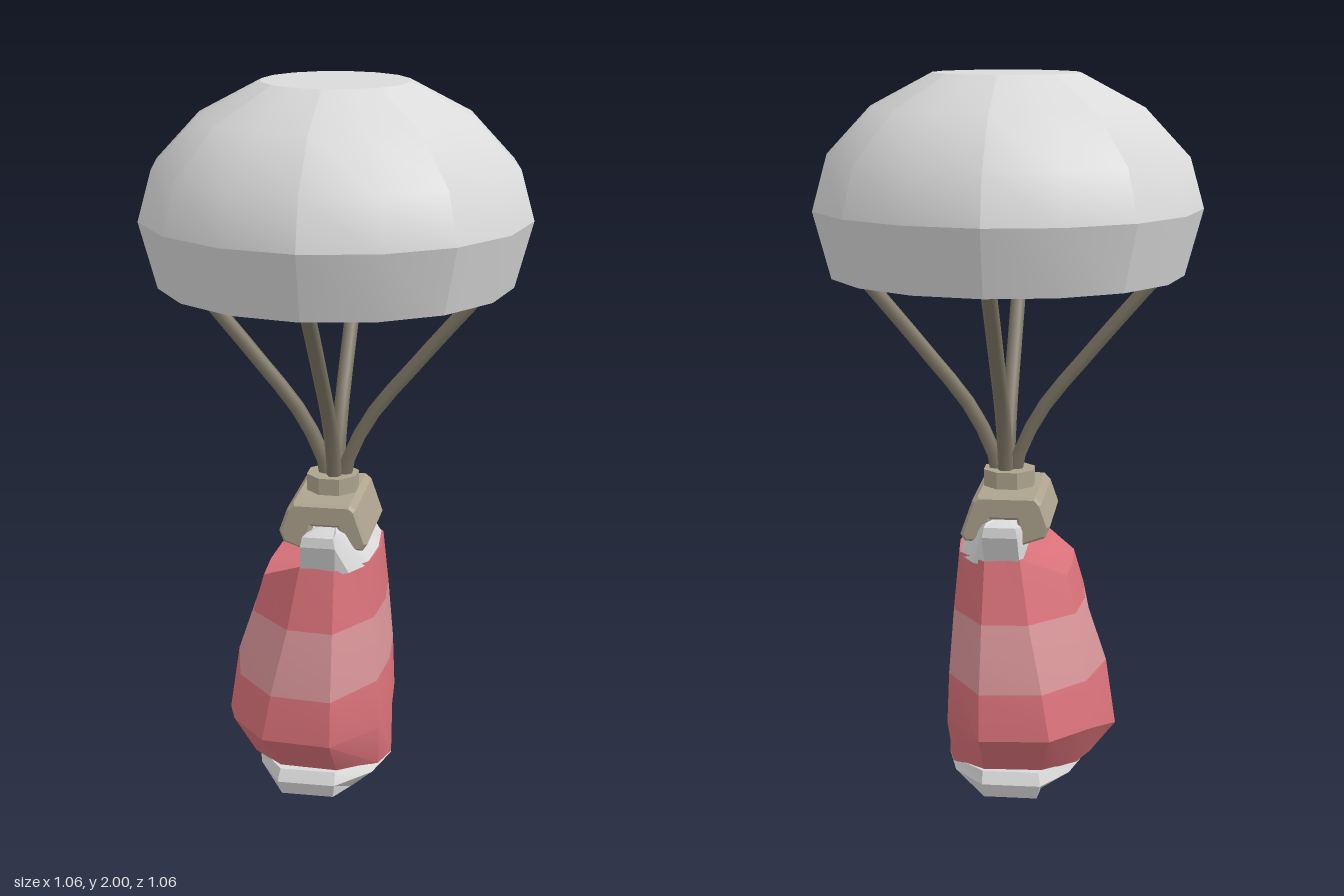
import * as THREE from 'three';
import { toCreasedNormals } from 'three/addons/utils/BufferGeometryUtils.js';

function material(name, color, side = THREE.FrontSide) {
  const m = new THREE.MeshStandardMaterial({ color, side });
  m.name = name;
  return m;
}

// Rings are listed top to bottom; each is a half outline (+x round to -x) mirrored in z.
// bands[i] is the material index of the strip below ring i.
function loft(halfRings, bands, crease) {
  const rings = halfRings.map((half) => [
    ...half,
    ...half.slice(1, -1).reverse().map(([x, y, z]) => [x, y, -z]),
  ]);
  const n = rings[0].length;
  const pos = [];
  const geo = new THREE.BufferGeometry();
  const tri = (...pts) => pts.forEach((p) => pos.push(...p));
  const middle = (half) => {
    const a = half[0], b = half[half.length - 1];
    return [(a[0] + b[0]) / 2, (a[1] + b[1]) / 2, 0];
  };
  const cap = (k, up, mat) => {
    const start = pos.length / 3;
    const c = middle(halfRings[k]);
    for (let i = 0; i < n; i++) {
      const a = rings[k][i], b = rings[k][(i + 1) % n];
      if (up) tri(c, b, a); else tri(c, a, b);
    }
    geo.addGroup(start, n * 3, mat);
  };
  cap(0, true, bands[0]);
  for (let k = 0; k < rings.length - 1; k++) {
    const start = pos.length / 3;
    for (let i = 0; i < n; i++) {
      const j = (i + 1) % n;
      const a = rings[k][i], b = rings[k][j], c = rings[k + 1][j], d = rings[k + 1][i];
      tri(a, b, d);
      tri(b, c, d);
    }
    geo.addGroup(start, n * 6, bands[k]);
  }
  cap(rings.length - 1, false, bands[bands.length - 1]);
  geo.setAttribute('position', new THREE.Float32BufferAttribute(pos, 3));
  return toCreasedNormals(geo, crease);
}

export function createModel() {
  const model = new THREE.Group();
  model.name = 'parachuteBag';

  const cloth = material('canopyGrey', 0xdadada, THREE.DoubleSide);
  const white = material('trimWhite', 0xdadada);
  const red = material('bagRed', 0xda727a);
  const pink = material('stripePink', 0xda969a);
  const tan = material('claspTan', 0xaea48f);
  const strapMat = material('strapOlive', 0x7d7665);

  const add = (parent, name, geo, mat) => {
    const mesh = new THREE.Mesh(geo, mat);
    mesh.name = name;
    parent.add(mesh);
    return mesh;
  };

  // Canopy: eight gores of two facets, with creases between gores and at the rim
  const canopy = new THREE.Group();
  canopy.name = 'canopy';
  canopy.rotation.y = -0.015;
  model.add(canopy);
  const profiles = {
    rim: [[0.482, 1.465], [0.53, 1.645]],
    dome: [[0.53, 1.645], [0.492, 1.78], [0.37, 1.91], [0.2, 2]],
    crown: [[0.2, 2], [0, 2]],
  };
  for (let i = 0; i < 8; i++) {
    for (const [part, pts] of Object.entries(profiles)) {
      const geo = new THREE.LatheGeometry(
        pts.map(([r, y]) => new THREE.Vector2(r, y)), 2, i * Math.PI / 4, Math.PI / 4);
      geo.computeVertexNormals();
      add(canopy, part + 'Panel', geo, cloth);
    }
  }

  // Four curved straps with closed outer ends
  const path = new THREE.CatmullRomCurve3(
    [[0.02, 0.88], [0.035, 0.96], [0.1, 1.09], [0.22, 1.24], [0.36, 1.405], [0.47, 1.53]]
      .map(([x, y]) => new THREE.Vector3(x, y, 0)));
  const strapGeo = new THREE.TubeGeometry(path, 10, 0.021, 6, false);
  const endGeo = new THREE.CircleGeometry(0.021, 6);
  const outward = path.getTangent(1);
  for (let i = 0; i < 4; i++) {
    const strap = new THREE.Group();
    strap.name = 'strap';
    strap.rotation.y = i * Math.PI / 2;
    model.add(strap);
    add(strap, 'strapCord', strapGeo, strapMat);
    const end = add(strap, 'strapEnd', endGeo, strapMat);
    end.position.copy(path.getPoint(1));
    end.quaternion.setFromUnitVectors(new THREE.Vector3(0, 0, 1), outward);
  }

  // Collar nut and the clasp saddling the bag's neck
  const nutGeo = toCreasedNormals(new THREE.CylinderGeometry(0.074, 0.074, 0.06, 8), 0.5);
  nutGeo.rotateY(Math.PI / 8);
  add(model, 'collarNut', nutGeo, tan).position.set(-0.008, 0.89, 0);

  const claspShape = new THREE.Shape(
    [[-0.09, 0.865], [-0.104, 0.85], [-0.125, 0.79], [-0.115, 0.765], [-0.06, 0.745],
      [-0.05, 0.815], [0.035, 0.815], [0.05, 0.75], [0.095, 0.753], [0.103, 0.765],
      [0.072, 0.855], [0.06, 0.865]].map(([x, y]) => new THREE.Vector2(x, y)));
  const claspGeo = new THREE.ExtrudeGeometry(claspShape, {
    depth: 0.28, bevelEnabled: true, bevelThickness: 0.01, bevelSize: 0.008, bevelSegments: 1,
  });
  claspGeo.translate(0, 0, -0.14);
  add(model, 'clasp', claspGeo, tan);

  // White neck flange, flaring into a tab at each end
  add(model, 'neckFlange', loft([
    [[0.06, 0.79, 0], [0.055, 0.79, 0.14], [0.035, 0.812, 0.2], [0.035, 0.812, 0.245], [-0.05, 0.812, 0.245], [-0.055, 0.79, 0.14], [-0.055, 0.79, 0]],
    [[0.07, 0.775, 0], [0.065, 0.775, 0.14], [0.045, 0.785, 0.2], [0.04, 0.785, 0.25], [-0.055, 0.785, 0.25], [-0.06, 0.775, 0.14], [-0.06, 0.775, 0]],
    [[0.127, 0.7, 0], [0.117, 0.7, 0.12], [0.07, 0.7, 0.2], [0.035, 0.7, 0.225], [-0.06, 0.7, 0.225], [-0.062, 0.7, 0.14], [-0.062, 0.7, 0]],
  ], [0, 0], 0.45), [white]);

  // Bag: faceted ends, softly rounded broad sides, one pale stripe
  add(model, 'bag', loft([
    [[0.13, 0.708, 0], [0.118, 0.708, 0.12], [0.035, 0.715, 0.235], [-0.06, 0.72, 0.228], [-0.18, 0.652, 0.13], [-0.187, 0.65, 0]],
    [[0.143, 0.55, 0], [0.131, 0.55, 0.14], [0.038, 0.55, 0.282], [-0.088, 0.55, 0.27], [-0.207, 0.55, 0.15], [-0.222, 0.55, 0]],
    [[0.156, 0.368, 0], [0.143, 0.368, 0.16], [0.04, 0.368, 0.325], [-0.128, 0.368, 0.31], [-0.24, 0.368, 0.18], [-0.283, 0.368, 0]],
    [[0.165, 0.23, 0], [0.15, 0.22, 0.15], [0.04, 0.24, 0.338], [-0.15, 0.24, 0.322], [-0.257, 0.235, 0.19], [-0.311, 0.18, 0]],
    [[0.163, 0.075, 0], [0.14, 0.085, 0.1], [0.04, 0.11, 0.22], [-0.12, 0.11, 0.21], [-0.21, 0.105, 0.12], [-0.24, 0.09, 0]],
  ], [0, 1, 0, 0], 0.5), [red, pink]);

  // White rocker foot under the bag
  add(model, 'foot', loft([
    [[0.155, 0.085, 0], [0.12, 0.095, 0.12], [0.04, 0.118, 0.245], [-0.115, 0.118, 0.245], [-0.19, 0.105, 0.12], [-0.215, 0.09, 0]],
    [[0.163, 0.072, 0], [0.128, 0.075, 0.14], [0.04, 0.085, 0.262], [-0.12, 0.085, 0.262], [-0.19, 0.08, 0.14], [-0.225, 0.08, 0]],
    [[0.075, 0, 0], [0.065, 0.015, 0.12], [0.035, 0.045, 0.25], [-0.11, 0.045, 0.25], [-0.11, 0.02, 0.12], [-0.11, 0.01, 0]],
  ], [0, 0], 0.5), [white]);

  return model;
}
